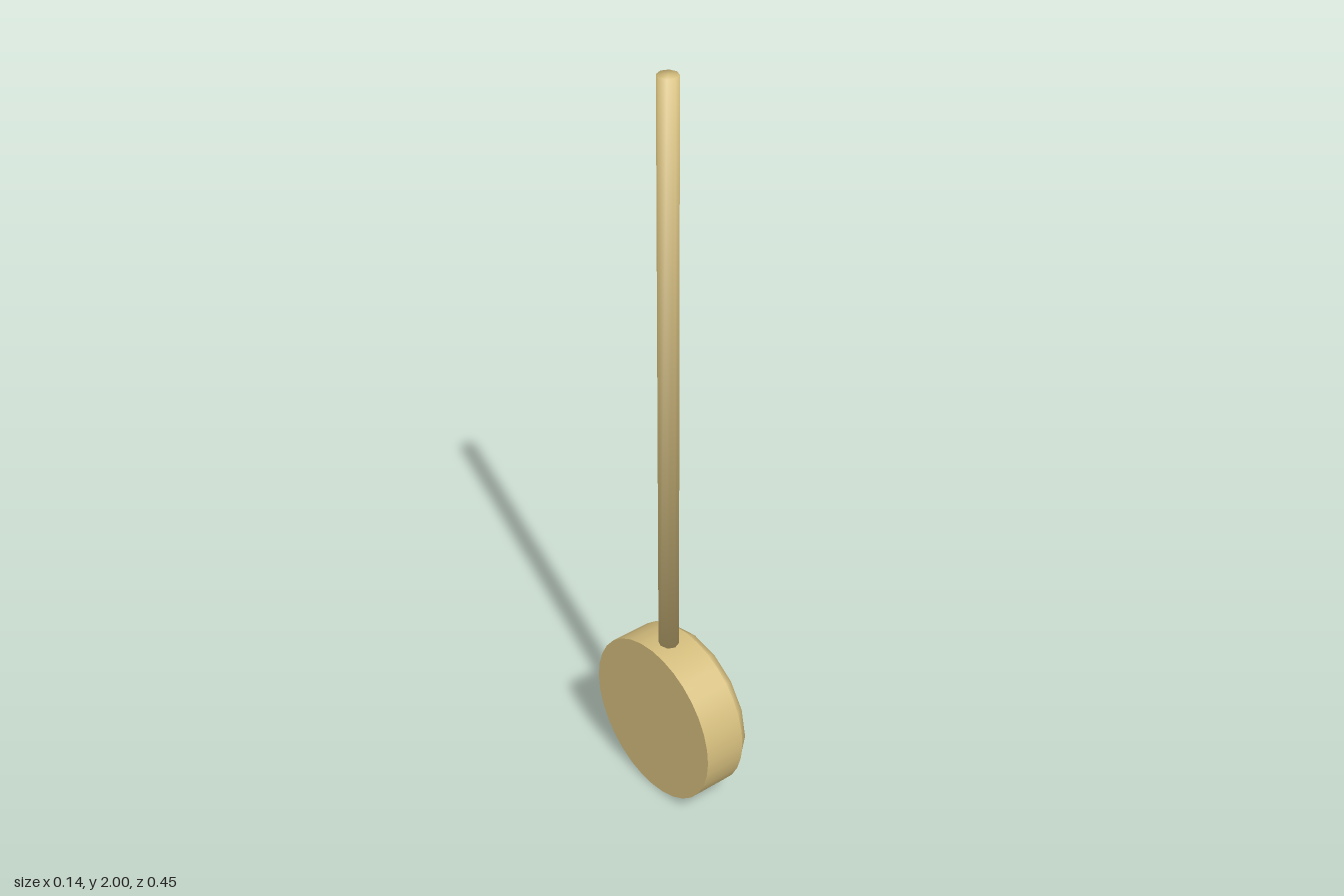
import * as THREE from 'three';

const brass = new THREE.MeshStandardMaterial({ color: 0xd3bc7c });
brass.name = 'brass';

const BOB_RADIUS = 0.224;
const BOB_BACK = -0.071;
const BOB_FRONT = 0.042;

function part(name, geometry, x, y, z) {
  const mesh = new THREE.Mesh(geometry, brass);
  mesh.name = name;
  mesh.position.set(x, y, z);
  return mesh;
}

// Octagonal rod whose normals blend softly over the end edges
function rodGeometry(radius, length) {
  const geometry = new THREE.CylinderGeometry(radius, radius, length, 8);
  const { position, normal } = geometry.attributes;
  const n = new THREE.Vector3();
  for (let i = 0; i < position.count; i++) {
    n.fromBufferAttribute(position, i);
    n.set(n.x / radius, Math.sign(n.y), n.z / radius).normalize();
    normal.setXYZ(i, n.x, n.y, n.z);
  }
  return geometry;
}

export function createModel() {
  const group = new THREE.Group();
  group.name = 'pendulum';

  // Round bob, its axis along x
  const bob = new THREE.CylinderGeometry(BOB_RADIUS, BOB_RADIUS, BOB_FRONT - BOB_BACK, 32);
  bob.rotateZ(-Math.PI / 2);
  group.add(part('bob', bob, (BOB_FRONT + BOB_BACK) / 2, BOB_RADIUS, 0));

  // Raised rim, half sunk into the face of the bob
  const rim = new THREE.TorusGeometry(0.187, 0.03, 6, 16);
  rim.rotateY(Math.PI / 2);
  group.add(part('rim', rim, 0.044, BOB_RADIUS, 0));

  // Long rod rising from the top of the bob
  const bottom = 0.44;
  group.add(part('rod', rodGeometry(0.026, 2 - bottom), -0.015, (2 + bottom) / 2, -0.001));

  return group;
}
